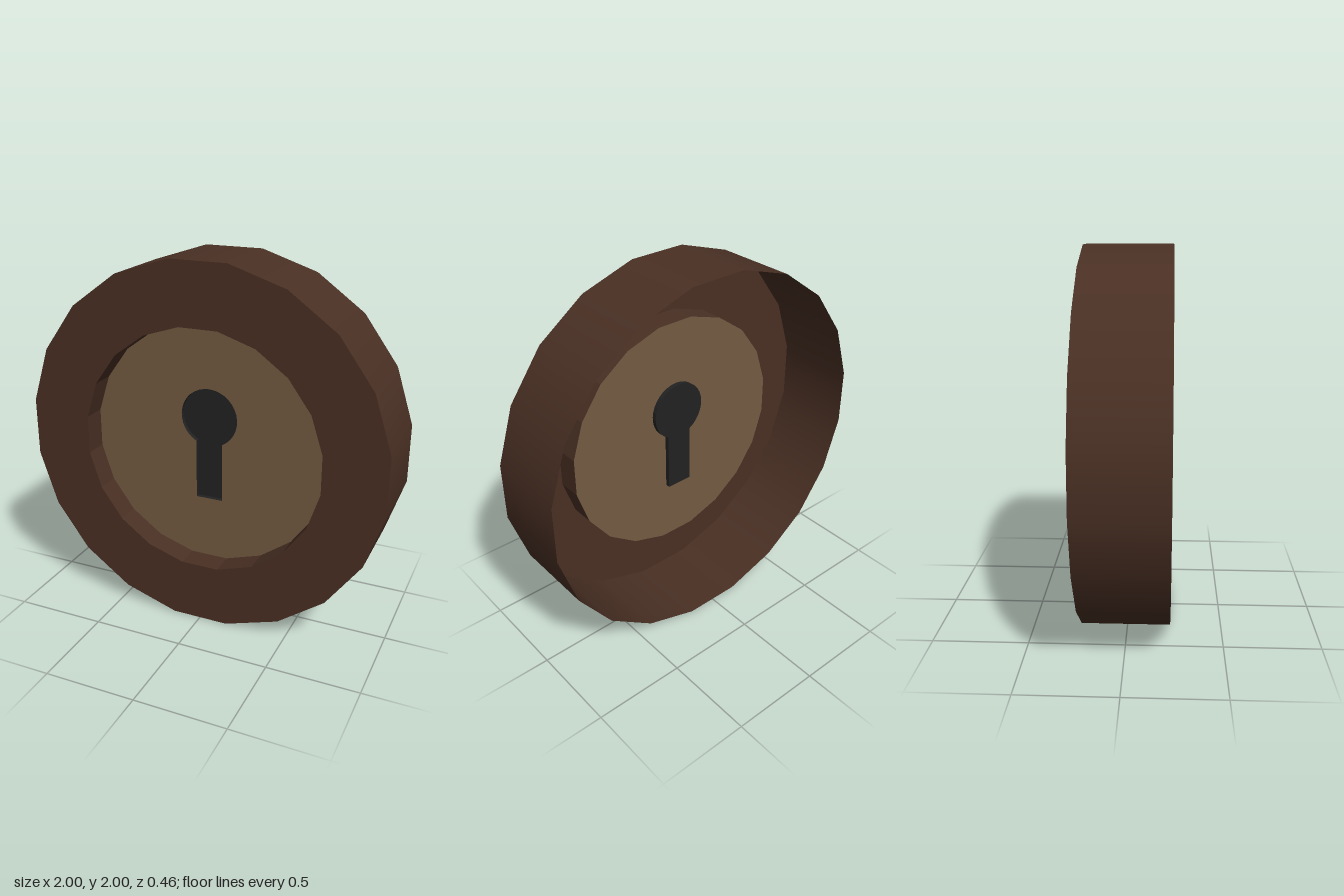
import * as THREE from 'three';

const SIDES = 20;
const STEP = Math.PI / SIDES;          // half a facet, so flats face up, down and sideways
const OUTER = 1 / Math.cos(STEP);
const INNER = 0.674;
const FRONT = 0.228, BACK = -0.228;
const PLATE = 0.095;                   // recessed plate
const POCKET = 0.025;                  // keyhole depth

function material(color, flatShading = false) {
  return new THREE.MeshStandardMaterial({ color, flatShading, side: THREE.DoubleSide });
}

// Open 20-sided tube along z
function band(radius, z0, z1) {
  return new THREE.CylinderGeometry(radius, radius, z1 - z0, SIDES, 1, true)
    .rotateX(Math.PI / 2)
    .rotateZ(STEP)
    .translate(0, 0, (z0 + z1) / 2);
}

// Keyhole outline: round top joined to a straight slot
function keyholePoints() {
  const r = 0.16, cy = 0.155, half = 0.075, bottom = -0.315, segments = 28;
  const a = Math.asin(half / r);
  const points = [new THREE.Vector2(-half, bottom), new THREE.Vector2(half, bottom)];
  for (let i = 0; i <= segments; i++) {
    const t = -Math.PI / 2 + a + (i / segments) * (2 * Math.PI - 2 * a);
    points.push(new THREE.Vector2(r * Math.cos(t), cy + r * Math.sin(t)));
  }
  return points;
}

// Ribbon following a closed outline between two depths
function wallGeometry(points, z0, z1) {
  const pos = [];
  points.forEach((p, i) => {
    const q = points[(i + 1) % points.length];
    pos.push(p.x, p.y, z0, q.x, q.y, z0, q.x, q.y, z1);
    pos.push(p.x, p.y, z0, q.x, q.y, z1, p.x, p.y, z1);
  });
  const geo = new THREE.BufferGeometry();
  geo.setAttribute('position', new THREE.Float32BufferAttribute(pos, 3));
  geo.computeVertexNormals();
  return geo;
}

export function createModel() {
  const model = new THREE.Group();
  model.name = 'keyholeDisc';
  const body = new THREE.Group();
  body.position.y = 1;
  model.add(body);

  const add = (name, geometry, mat) => {
    const mesh = new THREE.Mesh(geometry, mat);
    mesh.name = name;
    body.add(mesh);
  };

  const brown = material(0x4a3024);
  const brownFlat = material(0x4a3024, true);
  const tan = material(0x735b42);
  const dark = material(0x222222);

  // Rim shell, open at the back
  add('outerRim', band(OUTER, BACK, FRONT), brown);
  add('frontRing', new THREE.RingGeometry(INNER, OUTER, SIDES, 1, STEP).translate(0, 0, FRONT), brown);
  add('innerRim', band(INNER, PLATE, FRONT), brownFlat);

  // Recessed plate with a keyhole cut through it
  const outline = keyholePoints();
  const disc = new THREE.Shape();
  for (let i = 0; i < SIDES; i++) {
    const t = STEP * (2 * i + 1);
    disc[i ? 'lineTo' : 'moveTo'](INNER * Math.cos(t), INNER * Math.sin(t));
  }
  disc.holes.push(new THREE.Path(outline));
  add('plate', new THREE.ShapeGeometry(disc).translate(0, 0, PLATE), tan);

  // Shallow keyhole pocket
  add('keyholeFloor', new THREE.ShapeGeometry(new THREE.Shape(outline)).translate(0, 0, PLATE - POCKET), dark);
  add('keyholeWall', wallGeometry(outline, PLATE - POCKET, PLATE), dark);

  return model;
}
